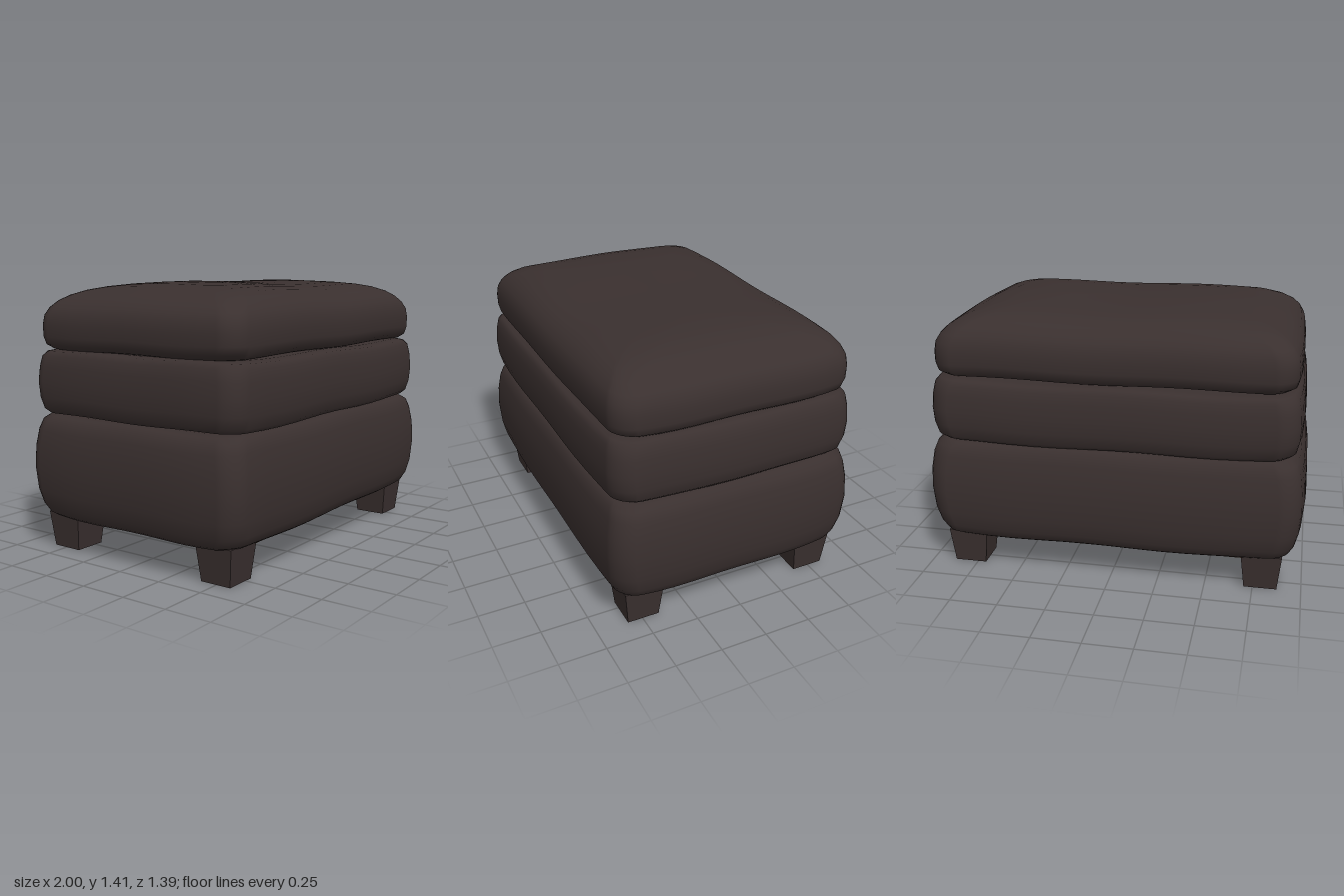
import * as THREE from 'three';

const leather = new THREE.MeshStandardMaterial({ color: 0x3a302f });
leather.name = 'darkLeather';
const lining = new THREE.MeshStandardMaterial({ color: 0x543b2c });
lining.name = 'brownLining';

// Rounded rectangle outline, sides subdivided and slightly bowed outward
function outline(hx, hz, r) {
  const pts = [];
  const arc = 6, side = 12;
  for (let c = 0; c < 4; c++) {
    const sx = c === 0 || c === 3 ? 1 : -1;
    const sz = c < 2 ? 1 : -1;
    for (let i = 0; i <= arc; i++) {
      const a = (c + i / arc) * Math.PI / 2;
      pts.push([sx * (hx - r) + r * Math.cos(a), sz * (hz - r) + r * Math.sin(a)]);
    }
    // straight run to the next corner
    const [x0, z0] = pts[pts.length - 1];
    const x1 = c % 2 === 0 ? -x0 : x0;
    const z1 = c % 2 === 0 ? z0 : -z0;
    for (let i = 1; i < side; i++) {
      const t = i / side;
      pts.push([x0 + (x1 - x0) * t, z0 + (z1 - z0) * t]);
    }
  }
  return pts.map(([x, z]) => [
    x * (1 - 0.035 * Math.pow(z / hz, 4)),
    z * (1 - 0.03 * Math.pow(x / hx, 4)),
  ]);
}

// Cushion lofted through [y, halfWidth, halfDepth] levels, with soft wrinkles
function cushion(name, levels, phase) {
  const pos = [], index = [];
  let n = 0;
  for (const [y, hx, hz] of levels) {
    const ring = outline(hx, hz, Math.min(0.1, hz * 0.4));
    n = ring.length;
    for (const [x, z] of ring) {
      const wave = 0.004 * Math.sin(7 * x + phase) + 0.003 * Math.sin(9 * z + 2 * phase);
      pos.push(x, y + wave, z);
    }
  }
  const rows = levels.length;
  for (let j = 0; j < rows - 1; j++) {
    for (let i = 0; i < n; i++) {
      const a = j * n + i, b = j * n + (i + 1) % n;
      index.push(a, a + n, b, b, a + n, b + n);
    }
  }
  // closing caps
  const low = pos.length / 3;
  pos.push(0, levels[0][0], 0, 0, levels[rows - 1][0], 0);
  for (let i = 0; i < n; i++) {
    const k = (i + 1) % n, top = (rows - 1) * n;
    index.push(low, i, k, low + 1, top + k, top + i);
  }
  const g = new THREE.BufferGeometry();
  g.setAttribute('position', new THREE.Float32BufferAttribute(pos, 3));
  g.setIndex(index);
  g.computeVertexNormals();
  const mesh = new THREE.Mesh(g, leather);
  mesh.name = name;
  return mesh;
}

// Tapered square leg, narrower at the floor
function leg() {
  const g = new THREE.BoxGeometry(0.21, 0.19, 0.21);
  const p = g.attributes.position;
  for (let i = 0; i < p.count; i++) {
    if (p.getY(i) < 0) {
      p.setX(i, p.getX(i) * 0.81);
      p.setZ(i, p.getZ(i) * 0.81);
    }
  }
  g.computeVertexNormals();
  return g;
}

export function createModel() {
  const group = new THREE.Group();
  group.name = 'footstool';

  group.add(cushion('baseCushion', [
    [0.185, 0.5, 0.3], [0.18, 0.88, 0.58], [0.18, 0.925, 0.62], [0.195, 0.945, 0.645],
    [0.24, 0.968, 0.668], [0.32, 0.988, 0.686], [0.44, 0.998, 0.695], [0.55, 0.993, 0.69],
    [0.64, 0.98, 0.675], [0.69, 0.96, 0.66], [0.712, 0.93, 0.635], [0.722, 0.89, 0.6],
    [0.724, 0.5, 0.3],
  ], 0.6));

  group.add(cushion('middleCushion', [
    [0.72, 0.5, 0.3], [0.72, 0.88, 0.59], [0.728, 0.93, 0.635], [0.75, 0.952, 0.658],
    [0.81, 0.965, 0.674], [0.89, 0.97, 0.68], [0.97, 0.963, 0.674], [1.025, 0.952, 0.664],
    [1.05, 0.93, 0.645], [1.06, 0.89, 0.605], [1.064, 0.5, 0.3],
  ], 2.1));

  group.add(cushion('topCushion', [
    [1.06, 0.5, 0.3], [1.06, 0.87, 0.585], [1.068, 0.905, 0.62], [1.09, 0.935, 0.648],
    [1.13, 0.945, 0.658], [1.19, 0.945, 0.66], [1.24, 0.938, 0.653], [1.28, 0.915, 0.635],
    [1.315, 0.88, 0.605], [1.345, 0.83, 0.565], [1.37, 0.765, 0.505], [1.387, 0.69, 0.43],
    [1.398, 0.6, 0.33], [1.403, 0.48, 0.2], [1.405, 0.36, 0.08],
  ], 4.0));

  // Lining on the underside
  const panel = new THREE.Mesh(new THREE.BoxGeometry(1.78, 0.008, 1.18), lining);
  panel.name = 'undersideLining';
  panel.position.y = 0.174;
  group.add(panel);

  const legGeometry = leg();
  for (const sx of [-1, 1]) {
    for (const sz of [-1, 1]) {
      const m = new THREE.Mesh(legGeometry, leather);
      m.name = (sz > 0 ? 'front' : 'back') + (sx > 0 ? 'Left' : 'Right') + 'Leg';
      m.position.set(sx * 0.79, 0.095, sz * 0.495);
      group.add(m);
    }
  }
  return group;
}
